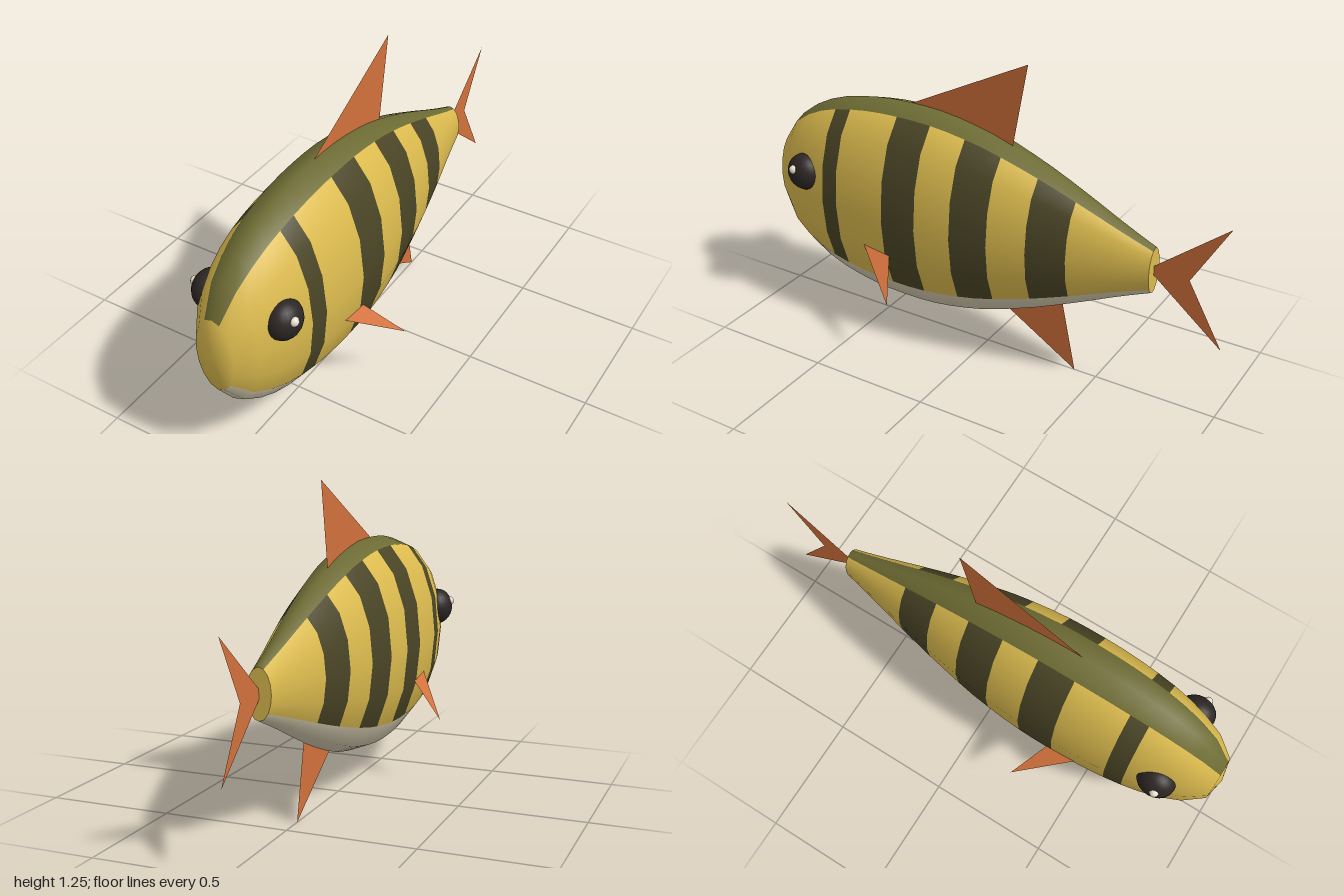
import * as THREE from 'three';

const SIDES = 16;
const MID_Y = 0.56;
const RING_STEP = 0.077;
// Half height of each body ring, from nose to tail; half width is half of this
const HALF_HEIGHTS = [
  0.16, 0.268, 0.325, 0.365, 0.392, 0.41, 0.423, 0.431, 0.434, 0.434, 0.43, 0.42,
  0.405, 0.387, 0.362, 0.334, 0.304, 0.271, 0.236, 0.2, 0.163, 0.128, 0.095,
];
const ringZ = (k) => 0.98 - RING_STEP * k;

const paint = (color, side = THREE.FrontSide) => new THREE.MeshStandardMaterial({ color, side });

function addMesh(parent, name, geometry, material) {
  const mesh = new THREE.Mesh(geometry, material);
  mesh.name = name;
  parent.add(mesh);
  return mesh;
}

// Flat fin from corner points
function finGeometry(corners, index) {
  const g = new THREE.BufferGeometry();
  g.setAttribute('position', new THREE.Float32BufferAttribute(corners.flat(), 3));
  g.setIndex(index);
  const flat = g.toNonIndexed();
  flat.computeVertexNormals();
  return flat;
}

// Lofted elliptical body, its quads sorted into colour regions
function createBody(skin) {
  const positions = [];
  HALF_HEIGHTS.forEach((h, k) => {
    for (let s = 0; s < SIDES; s++) {
      const a = (s / SIDES) * Math.PI * 2; // 0 is the top of the back
      positions.push((h / 2) * Math.sin(a), MID_Y + h * Math.cos(a), ringZ(k));
    }
  });
  const nose = positions.length / 3;
  positions.push(0, MID_Y, 0.998);

  const regions = { flanks: [], back: [], belly: [], stripes: [] };
  for (let s = 0; s < SIDES; s++) {
    const next = (s + 1) % SIDES;
    regions.flanks.push(nose, next, s);
    const fromTop = Math.min(s, SIDES - 1 - s);
    for (let k = 0; k < HALF_HEIGHTS.length - 1; k++) {
      const striped = k === 4 || [8, 9, 12, 13, 16, 17].includes(k);
      const region = fromTop === 0 ? 'back' : fromTop >= 6 ? 'belly' : striped ? 'stripes' : 'flanks';
      const a = k * SIDES + s, b = k * SIDES + next;
      const c = a + SIDES, d = b + SIDES;
      regions[region].push(a, b, c, b, d, c);
    }
  }

  // Normals are shared over the whole skin so shading stays smooth across colours
  const whole = new THREE.BufferGeometry();
  whole.setAttribute('position', new THREE.Float32BufferAttribute(positions, 3));
  whole.setIndex(Object.values(regions).flat());
  whole.computeVertexNormals();

  const materials = { flanks: skin, back: paint(0x6e6c34), belly: paint(0xd6ccb0), stripes: paint(0x4a4526) };
  const body = new THREE.Group();
  body.name = 'body';
  for (const [name, index] of Object.entries(regions)) {
    whole.setIndex(index);
    addMesh(body, name, whole.toNonIndexed(), materials[name]);
  }

  // Flat end of the tail stem
  const h = HALF_HEIGHTS[HALF_HEIGHTS.length - 1];
  const cap = new THREE.CircleGeometry(1, SIDES);
  cap.scale(h / 2, h, 1).rotateY(Math.PI).translate(0, MID_Y, ringZ(HALF_HEIGHTS.length - 1));
  addMesh(body, 'tailStemEnd', cap, skin);
  return body;
}

export function createModel() {
  const fish = new THREE.Group();
  fish.name = 'fish';
  const skin = paint(0xdcbb4e);
  const finPaint = paint(0xd2713c, THREE.DoubleSide);
  const eyePaint = paint(0x2c2624);
  const glintPaint = paint(0xe8e0d0);

  fish.add(createBody(skin));

  // Fins on the centre plane
  addMesh(fish, 'dorsalFin', finGeometry(
    [[0, 0.985, 0.365], [0, 1.255, -0.17], [0, 0.89, -0.105]], [0, 1, 2]), finPaint);
  addMesh(fish, 'analFin', finGeometry(
    [[0, 0.21, -0.075], [0, 0.005, -0.405], [0, 0.33, -0.335]], [0, 1, 2]), finPaint);
  addMesh(fish, 'tailFin', finGeometry(
    [[0, MID_Y, -0.69], [0, 0.81, -0.998], [0, MID_Y, -0.855], [0, 0.305, -0.998]],
    [0, 1, 2, 0, 2, 3]), finPaint);

  // Paired parts
  for (const [label, x] of [['left', 1], ['right', -1]]) {
    addMesh(fish, label + 'PectoralFin', finGeometry(
      [[x * 0.195, 0.425, 0.475], [x * 0.195, 0.41, 0.345], [x * 0.34, 0.27, 0.26]], [0, 1, 2]), finPaint);

    const eye = addMesh(fish, label + 'Eye', new THREE.SphereGeometry(0.077, 20, 14), eyePaint);
    eye.scale.x = 0.85;
    eye.position.set(x * 0.155, 0.65, 0.785);

    const glint = addMesh(fish, label + 'EyeGlint', new THREE.SphereGeometry(0.019, 12, 8), glintPaint);
    glint.position.set(x * 0.208, 0.675, 0.802);
  }
  return fish;
}
